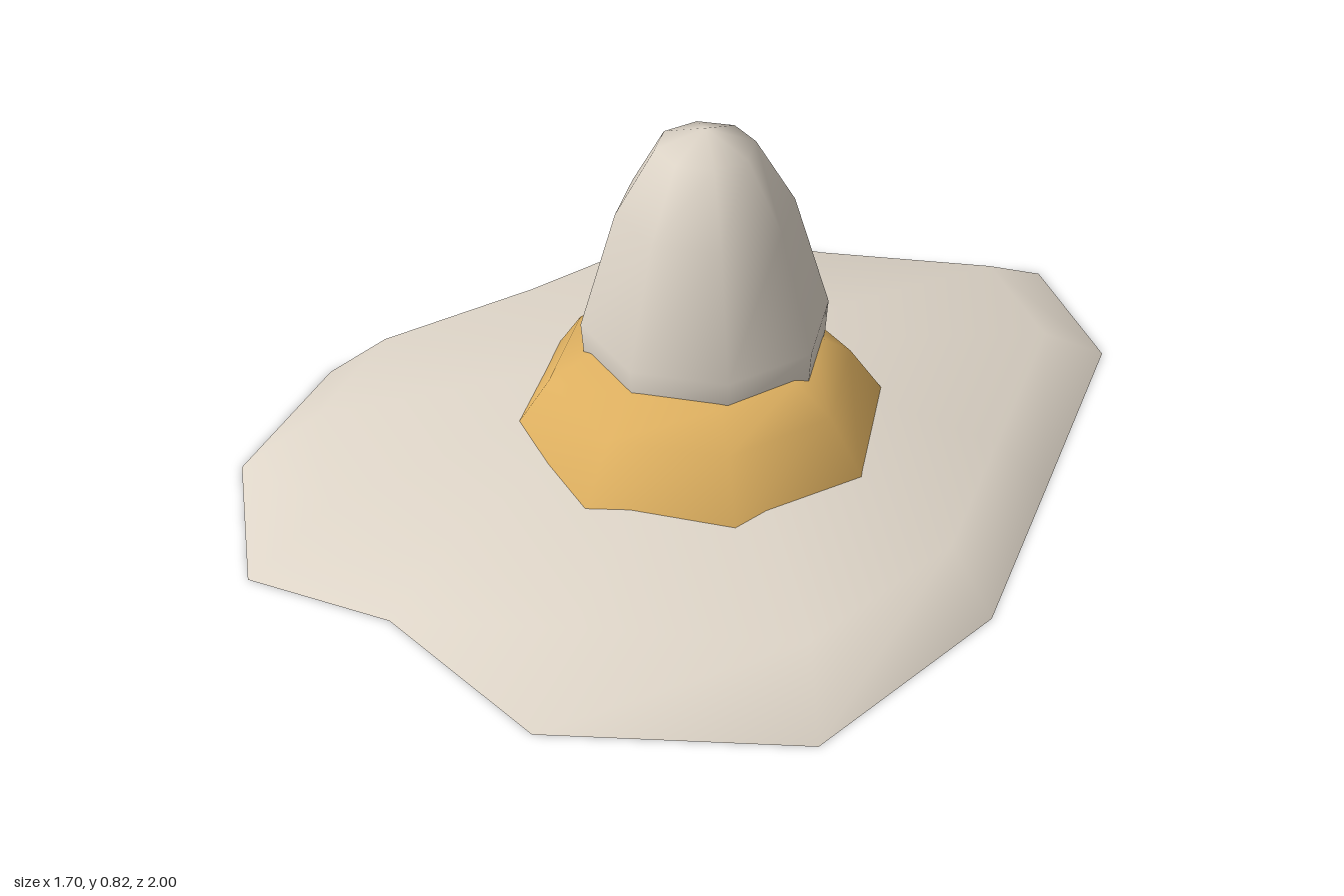
import * as THREE from 'three';

// Smooth loft through rings of equal length (bottom to top), closed by an apex point
// and a flat, hard-edged underside.
function loft(rings, apex) {
  const n = rings[0].length;
  const pos = [];
  const idx = [];
  rings.forEach(r => r.forEach(p => pos.push(...p)));
  for (let k = 0; k < rings.length - 1; k++) {
    for (let i = 0; i < n; i++) {
      const j = (i + 1) % n;
      const a = k * n + i, b = k * n + j, c = a + n, d = b + n;
      idx.push(a, c, b, b, c, d);
    }
  }
  const last = (rings.length - 1) * n;
  const top = pos.length / 3;
  pos.push(...apex);
  for (let i = 0; i < n; i++) idx.push(last + i, top, last + (i + 1) % n);

  // underside with its own vertices
  const under = pos.length / 3;
  rings[0].forEach(p => pos.push(...p));
  const centre = pos.length / 3;
  pos.push(apex[0], rings[0][0][1], apex[2]);
  for (let i = 0; i < n; i++) idx.push(under + i, under + (i + 1) % n, centre);

  const geo = new THREE.BufferGeometry();
  geo.setAttribute('position', new THREE.Float32BufferAttribute(pos, 3));
  geo.setIndex(idx);
  geo.computeVertexNormals();
  return geo;
}

// Eight-sided dome from [radius, height] pairs
function octagonDome(cx, cz, profile, topY) {
  const rings = profile.map(([r, y]) => Array.from({ length: 8 }, (_, i) => {
    const a = i * Math.PI / 4;
    return [cx + r * Math.cos(a), y, cz + r * Math.sin(a)];
  }));
  return loft(rings, [cx, topY, cz]);
}

export function createModel() {
  const group = new THREE.Group();
  const cream = new THREE.MeshStandardMaterial({ color: 0xded5c8 });
  cream.name = 'cream';
  const amber = new THREE.MeshStandardMaterial({ color: 0xdeb060 });
  amber.name = 'amber';

  const add = (name, geo, mat) => {
    const mesh = new THREE.Mesh(geo, mat);
    mesh.name = name;
    group.add(mesh);
  };

  // Irregular spread-out base: outline on the ground, inset shoulder, shallow peak
  const outline = [
    [0.32, -1], [0.61, -0.77], [0.74, -0.23], [0.845, 0.21], [0.75, 0.71],
    [0.29, 0.995], [-0.145, 0.915], [-0.47, 0.99], [-0.755, 0.73], [-0.85, 0.35],
    [-0.68, -0.1], [-0.55, -0.55], [-0.41, -0.69], [-0.12, -0.77],
  ];
  const ring = (sx, sz, y) => outline.map(([x, z]) => [x * sx, y, z * sz]);
  add('base', loft([ring(1, 1, 0), ring(0.855, 0.81, 0.105)], [0, 0.23, 0]), cream);

  // Amber collar
  add('collar', octagonDome(0.07, 0.13,
    [[0.44, 0.1], [0.405, 0.155], [0.33, 0.265], [0.24, 0.32]], 0.34), amber);

  // Tall rounded dome
  add('dome', octagonDome(0.055, 0.092,
    [[0.25, 0.2], [0.265, 0.3], [0.27, 0.375], [0.19, 0.64], [0.105, 0.785]], 0.825), cream);

  return group;
}
